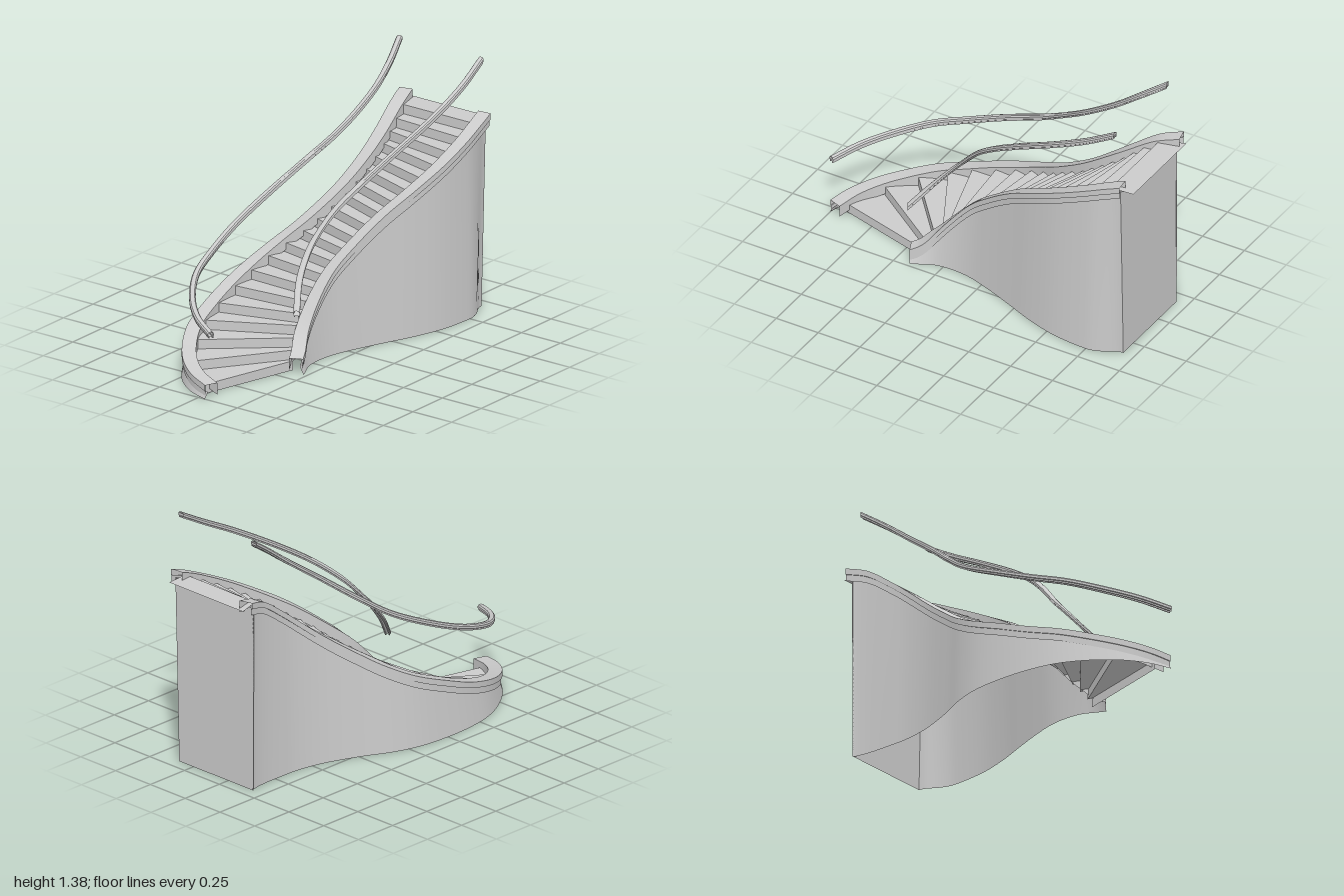
import * as THREE from 'three';
import { mergeGeometries } from 'three/addons/utils/BufferGeometryUtils.js';

const material = new THREE.MeshStandardMaterial({ color: 0xcccccc, side: THREE.DoubleSide });
const vec = (p) => new THREE.Vector3(...p);
const curve = (pts) => new THREE.CatmullRomCurve3(pts.map(vec));

// Top centre line of each curb, bottom to top
const leftCurb = curve([
  [0.055, 0.075, 0.965], [-0.065, 0.095, 0.92], [-0.175, 0.12, 0.84], [-0.27, 0.155, 0.722],
  [-0.341, 0.2, 0.58], [-0.373, 0.25, 0.42], [-0.378, 0.32, 0.24], [-0.36, 0.39, 0.07],
  [-0.315, 0.465, -0.07], [-0.24, 0.565, -0.22], [-0.16, 0.71, -0.42], [-0.125, 0.835, -0.58],
  [-0.12, 0.925, -0.7], [-0.135, 1.025, -0.85], [-0.165, 1.065, -0.975],
]);
const rightCurb = curve([
  [0.195, 0.085, 0.43], [0.175, 0.11, 0.385], [0.14, 0.19, 0.31], [0.127, 0.32, 0.2],
  [0.14, 0.45, 0.08], [0.18, 0.56, -0.05], [0.245, 0.69, -0.22], [0.31, 0.79, -0.38],
  [0.36, 0.885, -0.55], [0.379, 0.97, -0.72], [0.376, 1.03, -0.85], [0.367, 1.065, -0.94],
]);

// Handrail centre lines
const leftRail = curve([
  [0.065, 0.35, 0.98], [-0.085, 0.383, 0.895], [-0.21, 0.423, 0.775], [-0.315, 0.483, 0.605],
  [-0.357, 0.545, 0.42], [-0.365, 0.635, 0.2], [-0.32, 0.76, -0.06], [-0.25, 0.87, -0.22],
  [-0.155, 1.015, -0.41], [-0.11, 1.17, -0.625], [-0.115, 1.27, -0.76], [-0.15, 1.365, -0.9],
]);
const rightRail = curve([
  [0.205, 0.335, 0.44], [0.14, 0.47, 0.33], [0.118, 0.58, 0.235], [0.12, 0.65, 0.17],
  [0.155, 0.77, 0.06], [0.22, 0.89, -0.08], [0.285, 1.01, -0.26], [0.358, 1.16, -0.52],
  [0.38, 1.27, -0.73], [0.375, 1.365, -0.9],
]);

// Nosing of every step: [leftX, leftZ, rightX, rightZ]
const noses = [
  [0, 0.915, 0.14, 0.41], [-0.17, 0.8, 0.13, 0.38], [-0.27, 0.66, 0.115, 0.335],
  [-0.315, 0.51, 0.105, 0.29], [-0.335, 0.38, 0.1, 0.25], [-0.34, 0.24, 0.095, 0.2],
  [-0.33, 0.115, 0.1, 0.13], [-0.31, 0.005, 0.115, 0.06], [-0.285, -0.095, 0.135, -0.01],
  [-0.25, -0.185, 0.155, -0.075], [-0.215, -0.26, 0.175, -0.135], [-0.19, -0.34, 0.2, -0.205],
  [-0.155, -0.42, 0.23, -0.275], [-0.135, -0.485, 0.26, -0.34], [-0.11, -0.55, 0.285, -0.415],
  [-0.1, -0.615, 0.31, -0.495], [-0.09, -0.68, 0.33, -0.58], [-0.085, -0.735, 0.345, -0.67],
  [-0.09, -0.795, 0.35, -0.77], [-0.11, -0.87, 0.35, -0.87],
];
const RISE = 0.051;
const BACK = -0.935;

// Cross-sections as [sideways, down]: stepped inverted channel, grooved grip
const curbProfile = [
  [-0.037, 0.065], [-0.037, 0], [0.037, 0], [0.037, 0.033], [0.031, 0.033], [0.031, 0.068],
];
const halfGrip = [
  [0, -0.017], [0.011, -0.014], [0.017, -0.006], [0.017, 0.006], [0.013, 0.009],
  [0.013, 0.017], [0.007, 0.017], [0.007, 0.009],
];
const gripProfile = [...halfGrip, ...halfGrip.map(([x, y]) => [-x, y]).reverse()];

// Ruled surface between two rows of points
function strip(a, b) {
  const pos = [], index = [];
  a.forEach((p, i) => {
    pos.push(p.x, p.y, p.z, b[i].x, b[i].y, b[i].z);
    if (i) {
      const k = 2 * i;
      index.push(k - 2, k - 1, k, k, k - 1, k + 1);
    }
  });
  const g = new THREE.BufferGeometry();
  g.setAttribute('position', new THREE.Float32BufferAttribute(pos, 3));
  g.setIndex(index);
  g.computeVertexNormals();
  return g;
}

function mesh(name, geometry) {
  const m = new THREE.Mesh(geometry, material);
  m.name = name;
  return m;
}

// Curve shifted down and sideways by out(t), positive being away from the stair
function shifted(path, side, out, drop, n = 72) {
  return Array.from({ length: n + 1 }, (_, i) => {
    const p = path.getPoint(i / n), d = path.getTangent(i / n).setY(0).normalize();
    const s = side * out(i / n);
    return new THREE.Vector3(p.x + s * d.z, p.y - drop, p.z - s * d.x);
  });
}

// Profile carried along a curve, with sharp edges between its sides
function sweep(name, path, side, profile) {
  const rows = profile.map(([out, drop]) => shifted(path, side, () => out, drop));
  return mesh(name, mergeGeometries(rows.slice(1).map((r, i) => strip(rows[i], r))));
}

// Flared wall from the curb to the floor, drawn in and cut flat at the back
function wallRows(path, side, backTop, backBottom) {
  const cut = (p) => p.setZ(Math.max(p.z, BACK));
  const taper = (from, to) => (t) =>
    THREE.MathUtils.lerp(from, to, THREE.MathUtils.smoothstep(t, 0.84, 0.98));
  const top = shifted(path, side, taper(0.02, backTop), 0.04).map(cut);
  const bottom = shifted(path, side, taper(0.039, backBottom), 0).map((p) => cut(p).setY(0));
  return [top, bottom];
}

// Nose line of step i at height y, run on under both curbs
function noseLine(i, y) {
  const [lx, lz, rx, rz] = noses[i];
  const l = new THREE.Vector3(lx, y, lz), r = new THREE.Vector3(rx, y, rz);
  const d = r.clone().sub(l).setLength(0.02);
  return [l.sub(d), r.add(d)];
}

export function createModel() {
  const group = new THREE.Group();

  // Risers and treads
  const risers = [], treads = [];
  noses.forEach((_, i) => {
    const y = RISE * (i + 1);
    risers.push(strip(noseLine(i, y - RISE), noseLine(i, y)));
    if (i < noses.length - 1) treads.push(strip(noseLine(i, y), noseLine(i + 1, y)));
  });
  group.add(mesh('risers', mergeGeometries(risers)), mesh('treads', mergeGeometries(treads)));

  // Landing at the top
  const top = RISE * noses.length;
  group.add(mesh('landing', strip(
    noseLine(noses.length - 1, top), [vec([-0.17, top, -1]), vec([0.36, top, -1])])));

  // Side walls and back wall
  const left = wallRows(leftCurb, 1, 0.02, 0.018), right = wallRows(rightCurb, -1, 0.012, -0.015);
  group.add(mesh('leftWall', strip(...left)), mesh('rightWall', strip(...right)));
  const corners = (k) => [left[k].at(-1).clone(), right[k].at(-1).clone()];
  group.add(mesh('backWall', strip(corners(0).map((p) => p.setY(top)), corners(1))));

  // Curbs and handrails
  group.add(sweep('leftCurb', leftCurb, 1, curbProfile));
  group.add(sweep('rightCurb', rightCurb, -1, curbProfile));
  group.add(sweep('leftHandrail', leftRail, 1, gripProfile));
  group.add(sweep('rightHandrail', rightRail, -1, gripProfile));
  return group;
}
